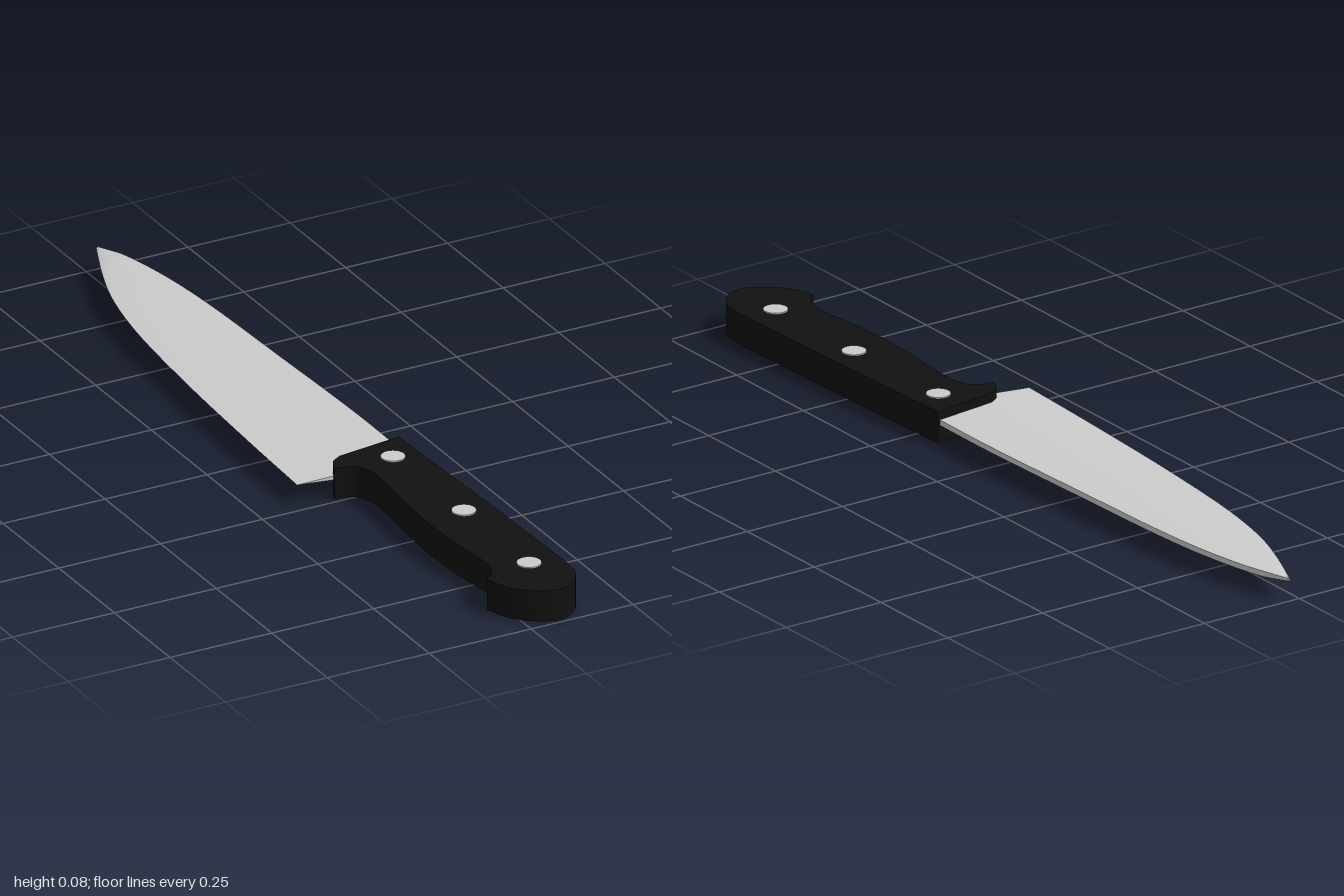
import * as THREE from 'three';
import { toCreasedNormals } from 'three/addons/utils/BufferGeometryUtils.js';

const steel = new THREE.MeshStandardMaterial({ color: 0xcccccc });
const black = new THREE.MeshStandardMaterial({ color: 0x111111 });
const BLADE_Y = 0.05;

const curve = (points) =>
  new THREE.CatmullRomCurve3(points.map(([x, z]) => new THREE.Vector3(x, BLADE_Y, z)), false, 'centripetal');

// Blade: wedge sections swept from heel to tip between cutting edge and spine
function bladeGeometry() {
  const edge = curve([[-0.153, 0.228], [-0.143, 0], [-0.122, -0.344], [-0.095, -0.61],
    [-0.063, -0.77], [-0.026, -0.88], [0.024, -1]]);
  const spine = curve([[0.12, 0.25], [0.122, 0], [0.111, -0.344], [0.1, -0.635],
    [0.085, -0.79], [0.058, -0.926], [0.029, -1]]);
  const steps = 30, positions = [], index = [];
  for (let i = 0; i <= steps; i++) {
    const e = edge.getPoint(i / steps), s = spine.getPoint(i / steps);
    const m = e.clone().lerp(s, 0.33);
    const taper = i > steps - 4 ? 0.5 + 0.5 * (steps - i) / 4 : 1;
    const ring = [[e, 0], [m, 0.005], [s, 0.0065], [s, -0.0065], [m, -0.005]];
    for (const [p, h] of ring) positions.push(p.x, p.y + h * taper, p.z);
  }
  for (let i = 0; i < steps; i++) {
    for (let j = 0; j < 5; j++) {
      const a = i * 5 + j, b = i * 5 + (j + 1) % 5;
      index.push(a, b, a + 5, b, b + 5, a + 5);
    }
  }
  // Heel and tip caps
  const t = steps * 5;
  for (let j = 1; j < 4; j++) index.push(0, j + 1, j, t, t + j, t + j + 1);
  const geometry = new THREE.BufferGeometry();
  geometry.setAttribute('position', new THREE.Float32BufferAttribute(positions, 3));
  geometry.setIndex(index);
  return toCreasedNormals(geometry, 0.5);
}

// Handle: flat slab with a hooked front, slightly bellied grip and rounded butt
function handleGeometry() {
  const spline = (shape, points) => shape.splineThru(points.map(([x, z]) => new THREE.Vector2(x, -z)));
  const shape = new THREE.Shape();
  shape.moveTo(0.127, -0.172);
  shape.lineTo(-0.03, -0.194);
  spline(shape, [[-0.056, 0.212], [-0.07, 0.243]]);
  spline(shape, [[-0.035, 0.252], [-0.013, 0.275], [-0.006, 0.33], [-0.016, 0.47], [-0.021, 0.58],
    [-0.016, 0.69], [-0.006, 0.79], [-0.012, 0.845], [-0.042, 0.878]]);
  spline(shape, [[-0.021, 0.935], [0.02, 0.977], [0.07, 0.997], [0.113, 0.98], [0.143, 0.937], [0.149, 0.88]]);
  shape.lineTo(0.143, -0.61);
  shape.closePath();
  const geometry = new THREE.ExtrudeGeometry(shape, { depth: 0.073, bevelEnabled: false, curveSegments: 5 });
  geometry.rotateX(-Math.PI / 2).translate(0, 0.004, 0);
  return toCreasedNormals(geometry, 0.5);
}

export function createModel() {
  const model = new THREE.Group();
  model.name = 'kitchenKnife';
  const add = (name, geometry, material) => {
    const mesh = new THREE.Mesh(geometry, material);
    mesh.name = name;
    model.add(mesh);
    return mesh;
  };

  add('blade', bladeGeometry(), steel);
  add('handle', handleGeometry(), black);

  // Rivets pass through the handle and stand slightly proud on both faces
  const rivet = new THREE.CylinderGeometry(0.027, 0.027, 0.08, 24);
  [[0.068, 0.254], [0.075, 0.56], [0.075, 0.853]].forEach(([x, z], i) => {
    add(`rivet${i + 1}`, rivet, steel).position.set(x, 0.04, z);
  });
  return model;
}
